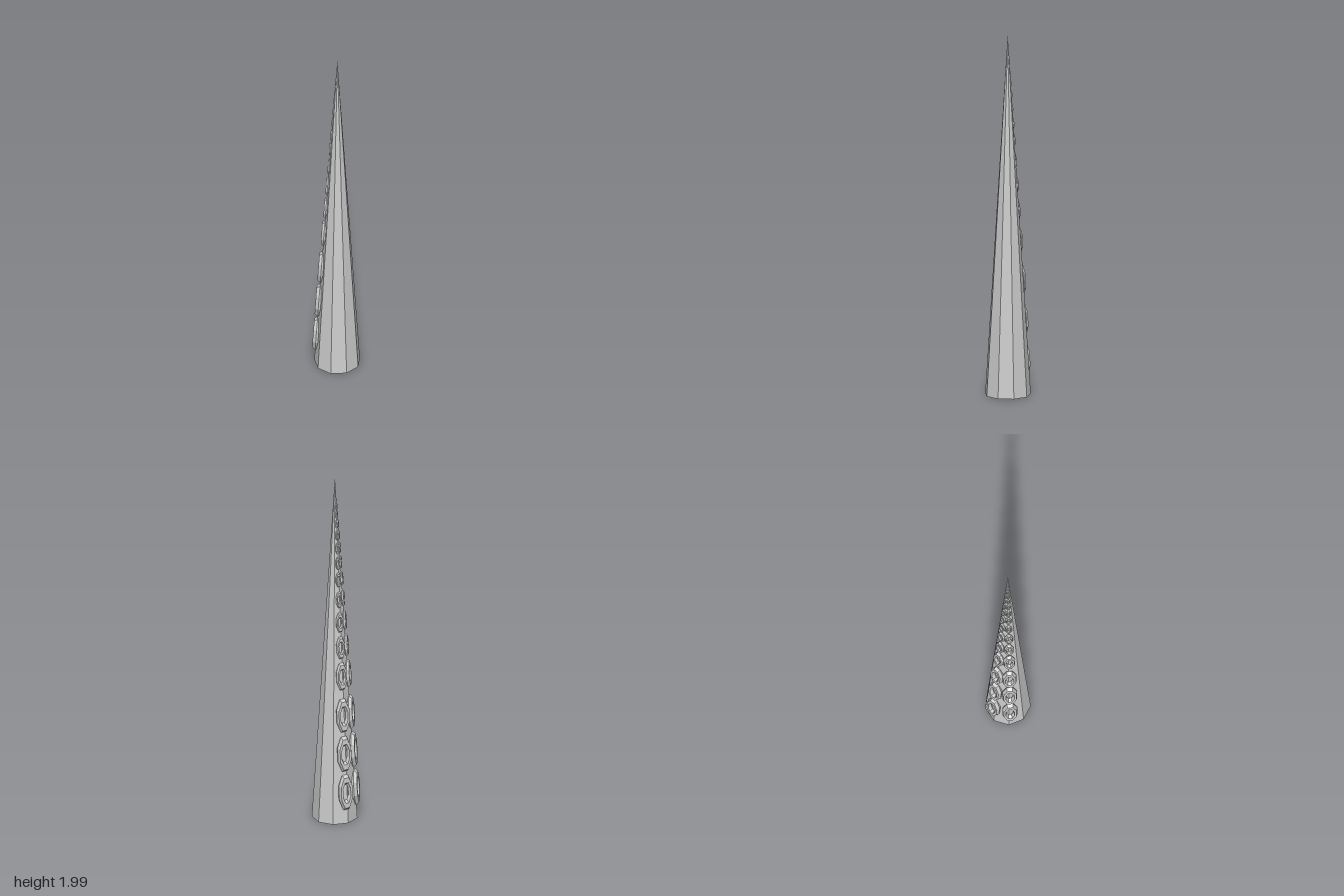
import * as THREE from 'three';

const HEIGHT = 1.99, RADIUS = 0.125;

export function createModel() {
  const group = new THREE.Group();
  const material = new THREE.MeshStandardMaterial({ color: 0xcccccc, flatShading: true });

  // nine-sided tapering arm with one corner on +x
  const armGeometry = new THREE.ConeGeometry(RADIUS, HEIGHT, 9, 1);
  armGeometry.rotateY(Math.PI / 2);
  armGeometry.translate(0, HEIGHT / 2, 0);
  const arm = new THREE.Mesh(armGeometry, material);
  arm.name = 'arm';
  group.add(arm);

  // octagonal ring of outer radius 1, facing +z
  const ringGeometry = new THREE.TorusGeometry(0.72, 0.28, 6, 8);
  ringGeometry.rotateZ(Math.PI / 8);

  // centre height and length of each sucker, from base to tip
  const suckers = [
    [0.18, 0.20], [0.40, 0.20], [0.62, 0.19], [0.845, 0.155], [1.01, 0.125],
    [1.155, 0.11], [1.285, 0.09], [1.4, 0.08], [1.495, 0.07], [1.58, 0.06],
    [1.655, 0.052], [1.72, 0.044], [1.775, 0.036], [1.82, 0.03], [1.86, 0.024],
  ];
  const lean = Math.atan(RADIUS / HEIGHT);

  // two rows along the -x side
  for (const [rowName, degrees] of [['frontSuckers', 157], ['backSuckers', 205]]) {
    const row = new THREE.Group();
    row.name = rowName;
    const angle = THREE.MathUtils.degToRad(degrees);
    row.rotation.y = Math.PI / 2 - angle;
    for (const [y, length] of suckers) {
      const sucker = new THREE.Mesh(ringGeometry, material);
      sucker.name = 'sucker';
      const half = length / 2 / 0.924;
      sucker.scale.set(half * 0.4, half, half * 0.66);
      sucker.position.set(0, y, RADIUS * (1 - y / HEIGHT) * 0.99);
      sucker.rotation.x = -lean;
      row.add(sucker);
    }
    group.add(row);
  }
  return group;
}
